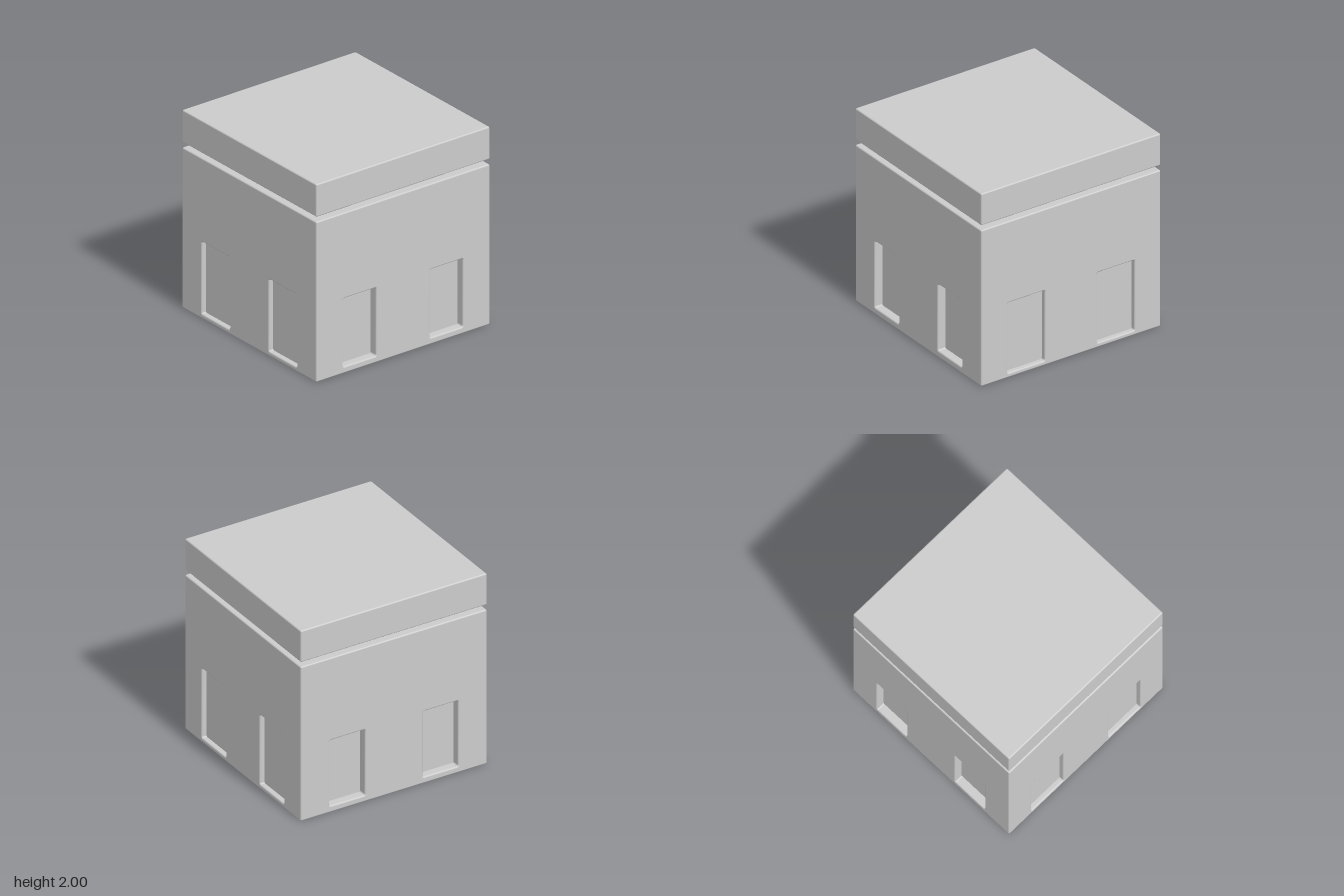
import * as THREE from 'three';
import { RoundedBoxGeometry } from 'three/addons/geometries/RoundedBoxGeometry.js';
import { toCreasedNormals } from 'three/addons/utils/BufferGeometryUtils.js';

const BODY_H = 1.62, CAP_BOTTOM = 1.67, BEVEL = 0.014;
const material = new THREE.MeshStandardMaterial({ color: 0xcccccc });

function add(parent, name, geometry, y = 0) {
  const mesh = new THREE.Mesh(geometry, material);
  mesh.name = name;
  mesh.position.y = y;
  parent.add(mesh);
  return mesh;
}

// Counter-clockwise rounded rectangle
function roundedRect(cx, cy, halfW, halfH, r, steps = 4) {
  const points = [];
  const corners = [[1, 1], [-1, 1], [-1, -1], [1, -1]];
  corners.forEach(([sx, sy], q) => {
    for (let i = 0; i <= steps; i++) {
      const a = (q + i / steps) * Math.PI / 2;
      points.push(new THREE.Vector2(
        cx + sx * (halfW - r) + r * Math.cos(a),
        cy + sy * (halfH - r) + r * Math.sin(a)));
    }
  });
  return points;
}

// Reveal of a recess: rounded lip, then straight sides going inwards
function revealGeometry(o, cx) {
  const profile = [];
  for (let i = 0; i <= 4; i++) {
    const a = i / 4 * Math.PI / 2;
    profile.push([BEVEL * (1 - Math.sin(a)), -BEVEL * (1 - Math.cos(a))]);
  }
  profile.push([0, -o.depth]);
  const positions = [], index = [];
  let n = 0;
  for (const [grow, z] of profile) {
    const loop = roundedRect(cx, o.cy, o.halfW + grow, o.halfH + grow, 0.015 + grow);
    n = loop.length;
    loop.forEach(p => positions.push(p.x, p.y, z));
  }
  for (let k = 0; k < profile.length - 1; k++) {
    for (let i = 0; i < n; i++) {
      const a = k * n + i, b = k * n + (i + 1) % n;
      index.push(a, b, a + n, b, b + n, a + n);
    }
  }
  const g = new THREE.BufferGeometry();
  g.setAttribute('position', new THREE.Float32BufferAttribute(positions, 3));
  g.setIndex(index);
  g.computeVertexNormals();
  return g;
}

// One side of the body, with two recessed openings
function createWall(name, opening) {
  const wall = new THREE.Group();
  wall.name = name;
  const e = 1 - BEVEL;
  const face = new THREE.Shape([
    new THREE.Vector2(-e, BEVEL), new THREE.Vector2(e, BEVEL),
    new THREE.Vector2(e, BODY_H - BEVEL), new THREE.Vector2(-e, BODY_H - BEVEL)]);
  for (const cx of [-0.5, 0.5]) {
    const { cy, halfW, halfH, depth } = opening;
    face.holes.push(new THREE.Path(
      roundedRect(cx, cy, halfW + BEVEL, halfH + BEVEL, 0.015 + BEVEL)));
    add(wall, 'openingReveal', revealGeometry(opening, cx)).position.z = 1;
    const back = new THREE.Shape(roundedRect(cx, cy, halfW, halfH, 0.015));
    add(wall, 'openingBack', new THREE.ShapeGeometry(back)).position.z = 1 - depth;
  }
  add(wall, 'wallFace', new THREE.ShapeGeometry(face)).position.z = 1;
  return wall;
}

// Rounded box without its four flat side faces
function bodyShell() {
  const g = new RoundedBoxGeometry(2, BODY_H, 2, 3, BEVEL);
  const p = g.attributes.position, n = g.attributes.normal;
  const positions = [], normals = [];
  for (let i = 0; i < p.count; i += 3) {
    const t = [i, i + 1, i + 2];
    if (t.every(j => Math.abs(p.getX(j)) > 0.99999)) continue;
    if (t.every(j => Math.abs(p.getZ(j)) > 0.99999)) continue;
    for (const j of t) {
      positions.push(p.getX(j), p.getY(j), p.getZ(j));
      normals.push(n.getX(j), n.getY(j), n.getZ(j));
    }
  }
  const shell = new THREE.BufferGeometry();
  shell.setAttribute('position', new THREE.Float32BufferAttribute(positions, 3));
  shell.setAttribute('normal', new THREE.Float32BufferAttribute(normals, 3));
  return shell;
}

export function createModel() {
  const model = new THREE.Group();
  model.name = 'blockHouse';

  // Body: rounded edges plus four walls
  const body = new THREE.Group();
  body.name = 'body';
  model.add(body);
  add(body, 'bodyEdges', bodyShell(), BODY_H / 2);
  const frontOpening = { cy: 0.41, halfW: 0.19, halfH: 0.345, depth: 0.085 };
  const sideOpening = { cy: 0.41, halfW: 0.208, halfH: 0.365, depth: 0.05 };
  ['frontWall', 'leftWall', 'backWall', 'rightWall'].forEach((name, i) => {
    const wall = createWall(name, i % 2 ? sideOpening : frontOpening);
    wall.rotation.y = i * Math.PI / 2;
    body.add(wall);
  });

  // Neck: square band with a slightly hollow side
  const profile = [[0.872, BODY_H], [0.861, 1.628], [0.857, 1.645], [0.861, 1.662], [0.872, CAP_BOTTOM]]
    .map(([r, y]) => new THREE.Vector2(r * Math.SQRT2, y));
  const neck = new THREE.LatheGeometry(profile, 4).rotateY(Math.PI / 4);
  add(model, 'neck', toCreasedNormals(neck, 1));

  // Cap slab
  const capH = 2 - CAP_BOTTOM;
  add(model, 'roofSlab', new RoundedBoxGeometry(2, capH, 2, 3, BEVEL), CAP_BOTTOM + capH / 2);
  return model;
}
